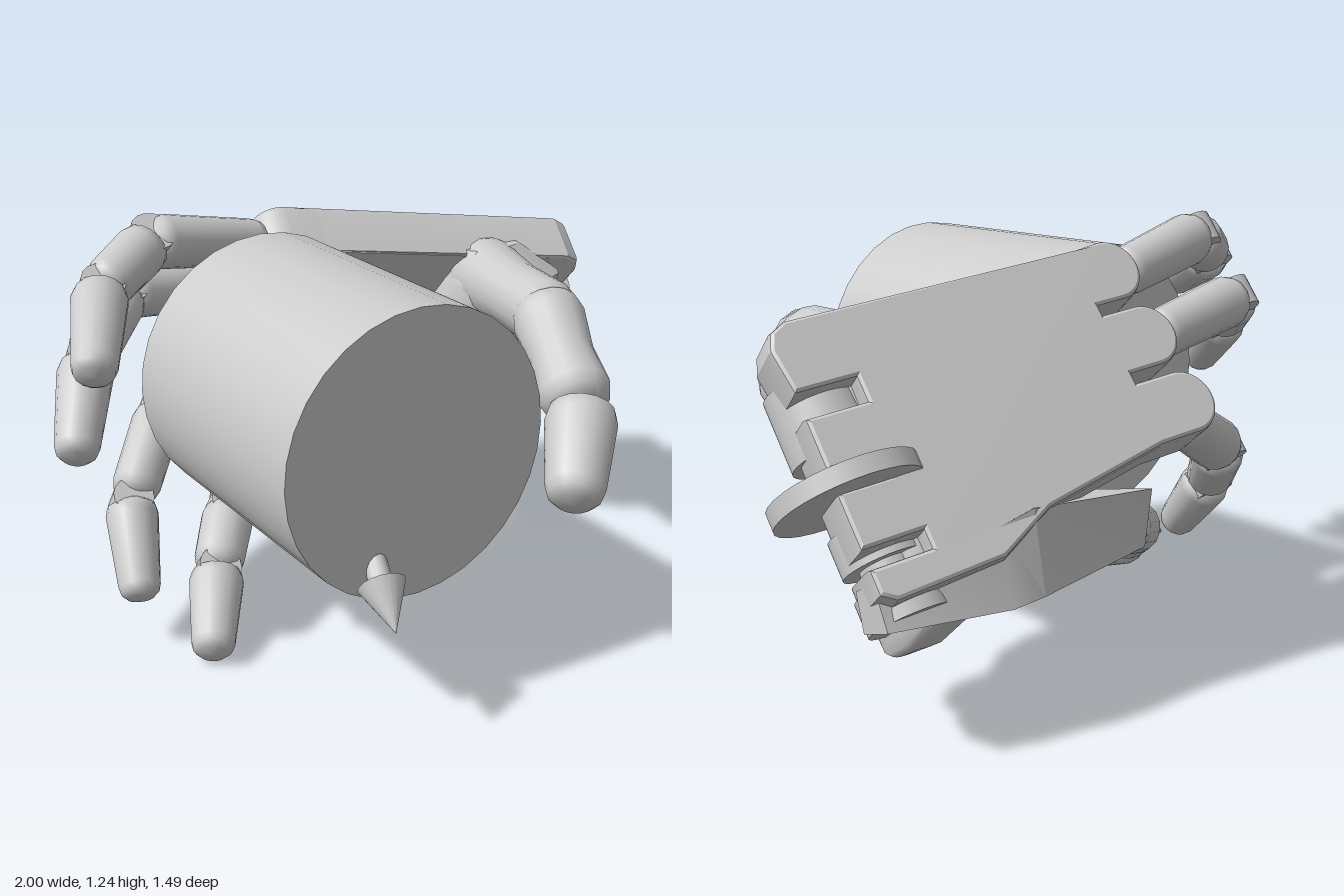
import * as THREE from 'three';
import { toCreasedNormals } from 'three/addons/utils/BufferGeometryUtils.js';

const V = (x, y, z) => new THREE.Vector3(x, y, z);
const UP = V(0, 1, 0);
const grey = new THREE.MeshStandardMaterial({ color: 0xcccccc });

function add(parent, name, geometry) {
  const mesh = new THREE.Mesh(geometry, grey);
  mesh.name = name;
  parent.add(mesh);
  return mesh;
}

// Stands a y-axis mesh at a, pointing toward b
function aim(mesh, a, b) {
  mesh.position.copy(a);
  mesh.quaternion.setFromUnitVectors(UP, b.clone().sub(a).normalize());
  return mesh;
}

// Tapered phalanx with blunt rounded ends
function phalanx(parent, name, a, b, ra, rb, waist = 1) {
  const L = a.distanceTo(b);
  const mid = (ra + rb) / 2 * waist;
  const profile = [
    [0, -ra * 0.4], [ra * 0.6, -ra * 0.36], [ra * 0.92, -ra * 0.15], [ra, ra * 0.2],
    [mid, L * 0.5], [rb, L - rb * 0.3], [rb * 0.9, L + rb * 0.05], [rb * 0.6, L + rb * 0.32], [0, L + rb * 0.4],
  ].map(p => new THREE.Vector2(...p));
  return aim(add(parent, name, new THREE.LatheGeometry(profile, 16)), a, b);
}

// Closed skin over rings of points, counter-clockwise about the direction of travel
function loft(rings, crease) {
  const n = rings[0].length, last = (rings.length - 1) * n, index = [];
  for (let i = 0; i < rings.length - 1; i++) {
    for (let j = 0; j < n; j++) {
      const a = i * n + j, b = i * n + (j + 1) % n;
      index.push(a, b, b + n, a, b + n, a + n);
    }
  }
  for (let j = 1; j < n - 1; j++) index.push(0, j + 1, j, last, last + j, last + j + 1);
  const geometry = new THREE.BufferGeometry().setFromPoints(rings.flat());
  geometry.setIndex(index);
  return toCreasedNormals(geometry, crease);
}

// Plate outline: knuckle lobes at -x, slotted wrist edge at +x
function palmGeometry() {
  const s = new THREE.Shape();
  s.moveTo(0.06, -0.58);
  [[0.45, -0.64], [0.62, -0.72], [0.92, -0.73], [0.95, -0.71], [0.95, -0.66], [0.78, -0.66], [0.78, -0.59],
    [0.95, -0.59], [0.95, -0.46], [0.8, -0.46], [0.8, -0.38], [0.95, -0.38], [0.95, -0.26],
    [0.78, -0.26], [0.78, -0.17], [0.95, -0.17], [0.965, -0.06], [0.95, -0.02], [0.91, 0], [-0.01, 0],
  ].forEach(p => s.lineTo(...p));
  for (const [x, y] of [[-0.04, -0.08], [-0.055, -0.29], [-0.07, -0.5]]) {
    s.lineTo(0.06, y + 0.08);
    s.absarc(x, y, 0.08, Math.PI / 2, Math.PI * 1.5, false);
    s.lineTo(0.06, y - 0.08);
  }
  const g = new THREE.ExtrudeGeometry(s, {
    depth: 0.13, bevelThickness: 0.02, bevelSize: 0.012, bevelSegments: 2, curveSegments: 10,
  });
  g.translate(0, 0, 0.02);
  return toCreasedNormals(g, 0.35);
}

function buildPalm(hand) {
  // Local x runs to the wrist, y to the index side, z out of the palm
  const X = V(0.974, -0.144, 0.174).normalize();
  const Z = X.clone().cross(V(0, 0.8, 0.6)).normalize();
  const Y = Z.clone().cross(X);
  const palm = new THREE.Group();
  palm.name = 'palm';
  palm.quaternion.setFromRotationMatrix(new THREE.Matrix4().makeBasis(X, Y, Z));
  palm.position.set(-0.05, 1.18, -0.38);
  hand.add(palm);
  add(palm, 'palmPlate', palmGeometry());

  // Wrist hinge: one large disc between two knobs
  const cylinder = (name, r, h, x, y, z) =>
    add(palm, name, new THREE.CylinderGeometry(r, r, h, 28)).position.set(x, y, z);
  cylinder('wristDisc', 0.2, 0.05, 0.9, -0.43, 0.1);
  cylinder('wristKnobUpper', 0.12, 0.2, 0.86, -0.22, 0.16);
  cylinder('wristKnobMiddle', 0.11, 0.1, 0.86, -0.57, 0.15);
  cylinder('wristKnobLower', 0.11, 0.09, 0.86, -0.73, 0.14);
  cylinder('wristAxle', 0.07, 0.64, 0.86, -0.42, 0.14);

  // Outer metacarpal carrying the little finger: [x, then z, y of four corners]
  const sections = [
    [-0.07, -0.61, 0.41, -0.61, 0.5, -0.5, 0.47, -0.5, 0.37],
    [-0.02, -0.65, 0.39, -0.67, 0.56, -0.41, 0.5, -0.42, 0.33],
    [0.43, -0.73, 0.38, -0.685, 0.6, -0.42, 0.53, -0.44, 0.3],
    [0.53, -0.725, 0.37, -0.67, 0.57, -0.58, 0.52, -0.6, 0.32],
    [0.86, -0.645, 0.37, -0.59, 0.48, -0.52, 0.44, -0.55, 0.34],
  ].map(([x, ...c]) => [0, 2, 4, 6].map(i => V(x, c[i + 1], c[i])));
  add(hand, 'outerMetacarpal', loft(sections, 0.35));

  // Flared thumb socket: [y, xMin, xMax, zMin, zMax]
  const rings = [
    [0.24, 0.68, 0.75, -0.53, -0.47], [0.28, 0.63, 0.76, -0.6, -0.43], [0.36, 0.56, 0.76, -0.66, -0.38],
    [0.5, 0.46, 0.76, -0.62, -0.27], [0.65, 0.4, 0.765, -0.5, -0.16], [0.78, 0.38, 0.77, -0.4, -0.06],
    [0.92, 0.4, 0.77, -0.3, -0.03], [1.02, 0.44, 0.64, -0.23, -0.12],
  ].map(([y, x0, x1, z0, z1]) => Array.from({ length: 16 }, (_, i) => {
    const a = i / 16 * Math.PI * 2, c = Math.cos(a), s = Math.sin(a);
    const soft = v => Math.sign(v) * Math.abs(v) ** 0.6;
    return V((x0 + x1) / 2 + soft(c) * (x1 - x0) / 2, y, (z0 + z1) / 2 - soft(s) * (z1 - z0) / 2);
  }));
  add(hand, 'thumbSocket', loft(rings, 0.7));
  return Y;
}

// Finger from knuckle, middle joint, end joint and tip
function buildFinger(hand, name, joints, axis, size = 1) {
  const finger = new THREE.Group();
  finger.name = name;
  hand.add(finger);
  const [k, m, e, t] = joints.map(p => V(...p));
  const r = 0.077 * size;
  const part = (label, a, b, f0, f1, ra, rb) =>
    phalanx(finger, label, a.clone().lerp(b, f0), a.clone().lerp(b, f1), ra, rb);
  part('knucklePin', k, m, -0.05, 0.3, r * 0.55, r * 0.55);
  part('proximalPhalanx', k, m, 0.2, 0.96, r * 0.93, r * 1.02);
  part('middlePhalanx', m, e, 0.14, 0.88, r, r * 0.95);
  part('fingertip', e, t, 0.08, 0.93, r * 1.02, r * 0.8);
  // Hinge barrels across the joints
  for (const [p, s] of [[k, 0.72], [m, 0.85], [e, 0.8]]) {
    const barrel = add(finger, 'hinge', new THREE.CylinderGeometry(r * s, r * s, r * 1.2, 16));
    aim(barrel, p, p.clone().add(axis));
  }
}

function buildThumb(hand) {
  const thumb = new THREE.Group();
  thumb.name = 'thumb';
  hand.add(thumb);
  phalanx(thumb, 'thumbBase', V(0.53, 0.92, -0.2), V(0.475, 0.9, 0.22), 0.125, 0.105, 0.9);
  phalanx(thumb, 'thumbMiddle', V(0.475, 0.9, 0.2), V(0.36, 0.74, 0.48), 0.11, 0.108, 0.88);
  phalanx(thumb, 'thumbTip', V(0.335, 0.715, 0.53), V(0.185, 0.57, 0.685), 0.104, 0.085);
}

export function createModel() {
  const model = new THREE.Group();
  model.name = 'handHoldingCylinder';
  const hand = new THREE.Group();
  hand.name = 'hand';
  model.add(hand);

  const across = buildPalm(hand);
  buildFinger(hand, 'indexFinger',
    [[-0.12, 1.08, -0.385], [-0.57, 1.17, -0.32], [-0.78, 1.09, -0.2], [-0.93, 0.96, 0.08]], across);
  buildFinger(hand, 'middleFinger',
    [[-0.13, 0.92, -0.51], [-0.6, 0.99, -0.45], [-0.82, 0.88, -0.24], [-0.96, 0.7, -0.02]], across);
  buildFinger(hand, 'ringFinger',
    [[-0.13, 0.74, -0.64], [-0.47, 0.57, -0.53], [-0.69, 0.38, -0.31], [-0.765, 0.17, -0.11]], across);
  buildFinger(hand, 'littleFinger',
    [[-0.02, 0.42, -0.56], [-0.37, 0.285, -0.29], [-0.51, 0.175, -0.12], [-0.645, 0.05, 0.1]], across, 1.05);
  buildThumb(hand);

  // Held cylinder
  const held = add(model, 'heldCylinder', new THREE.CylinderGeometry(0.405, 0.405, 0.81, 32));
  held.rotation.x = Math.PI / 2;
  held.position.set(-0.255, 0.757, 0.165);

  // Small arrow coming out of the cylinder's front
  const base = V(-0.4, 0.44, 0.61), tip = V(-0.43, 0.36, 0.72);
  aim(add(model, 'arrowHead', new THREE.ConeGeometry(0.066, 0.14, 16).translate(0, 0.07, 0)), base, tip);
  aim(add(model, 'arrowShaft', new THREE.CylinderGeometry(0.032, 0.032, 0.2, 12).translate(0, -0.1, 0)), base, tip);
  return model;
}
